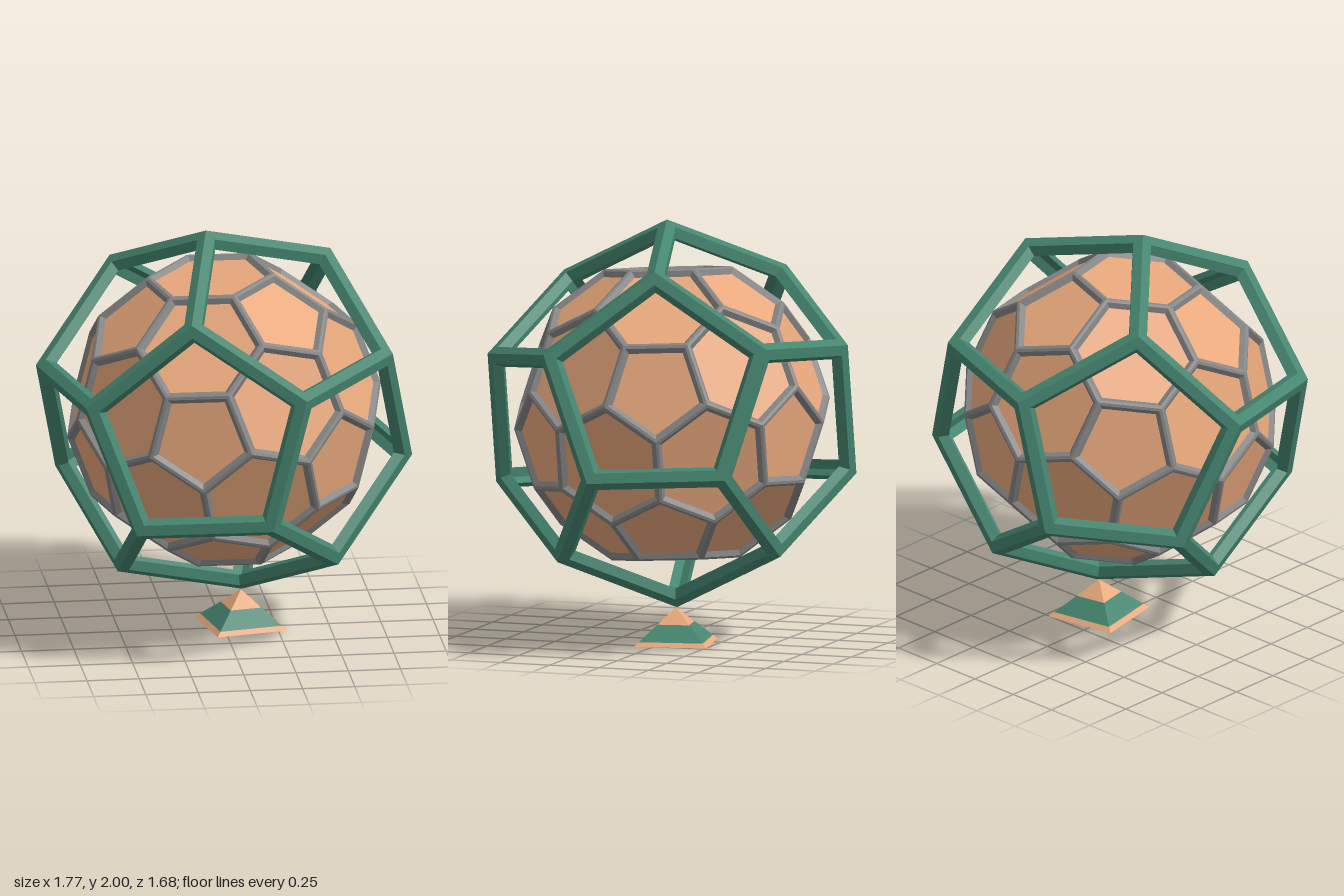
import * as THREE from 'three';

const GREEN = 0x458570, ORANGE = 0xe8a87c, GREY = 0x868686;
const PHI = (1 + Math.sqrt(5)) / 2;

const material = (color) => new THREE.MeshStandardMaterial({ color, flatShading: true });

// All sign and cyclic variants of (0, a, b)
function cyclic(a, b) {
  const out = [];
  for (const s of [-1, 1]) for (const t of [-1, 1]) {
    out.push(new THREE.Vector3(0, s * a, t * b), new THREE.Vector3(s * a, t * b, 0), new THREE.Vector3(t * b, 0, s * a));
  }
  return out;
}

// Corners of the face looking along dir, counter-clockwise from outside
function faceLoop(points, dir) {
  const n = dir.clone().normalize();
  const top = Math.max(...points.map((p) => p.dot(n)));
  const loop = points.filter((p) => p.dot(n) > top - 1e-4);
  const u = loop[0].clone().addScaledVector(n, -loop[0].dot(n)).normalize();
  const v = n.clone().cross(u);
  const angle = (p) => Math.atan2(p.dot(v), p.dot(u));
  return loop.sort((a, b) => angle(a) - angle(b));
}

// Move the sides of a loop inwards by width, then sink it by depth
function inset(loop, width, depth = 0) {
  const c = loop.reduce((s, p) => s.add(p), new THREE.Vector3()).divideScalar(loop.length);
  const apothem = loop[0].clone().add(loop[1]).multiplyScalar(0.5).distanceTo(c);
  const sink = c.clone().normalize().multiplyScalar(-depth);
  return loop.map((p) => p.clone().lerp(c, width / apothem).add(sink));
}

const scaled = (loop, s) => loop.map((p) => p.clone().multiplyScalar(s));

// Quads between neighbouring loops
function strips(out, loops) {
  for (let k = 0; k + 1 < loops.length; k++) {
    const a = loops[k], b = loops[k + 1];
    for (let i = 0; i < a.length; i++) {
      const j = (i + 1) % a.length;
      out.push(a[i], a[j], b[j], a[i], b[j], b[i]);
    }
  }
}

function cap(out, loop) {
  for (let i = 1; i + 1 < loop.length; i++) out.push(loop[0], loop[i], loop[i + 1]);
}

function meshOf(name, triangles, color) {
  const geometry = new THREE.BufferGeometry().setFromPoints(triangles);
  geometry.computeVertexNormals();
  const mesh = new THREE.Mesh(geometry, material(color));
  mesh.name = name;
  return mesh;
}

export function createModel() {
  const model = new THREE.Group();
  model.name = 'caged ball on stand';

  // Directions of the twelve pentagons and twenty corners
  const pentagonDirs = cyclic(PHI, 1);
  const cornerDirs = cyclic(1 / PHI, PHI);
  for (const x of [-1, 1]) for (const y of [-1, 1]) for (const z of [-1, 1]) cornerDirs.push(new THREE.Vector3(x, y, z));

  // Open dodecahedral cage
  const cagePoints = cornerDirs.map((p) => p.clone().setLength(0.921));
  const cage = [];
  for (const dir of pentagonDirs) {
    const outer = faceLoop(cagePoints, dir);
    const hole = inset(outer, 0.05);
    strips(cage, [outer, hole, scaled(hole, 0.94), scaled(outer, 0.94)]);
  }

  // Ball: icosahedron with its corners cut at a third of each edge
  const ico = pentagonDirs.map((p) => p.clone().setLength(0.87));
  const ballPoints = [];
  for (const a of ico) for (const b of ico) {
    if (a !== b && a.distanceTo(b) < 1) ballPoints.push(a.clone().lerp(b, 1 / 3));
  }
  const ridges = [], panels = [];
  for (const dir of [...pentagonDirs, ...cornerDirs]) {
    const outer = faceLoop(ballPoints, dir);
    const panel = inset(outer, 0.034, 0.02);
    strips(ridges, [outer, inset(outer, 0.014), panel]);
    cap(panels, panel);
  }

  // Cage and ball share one tilt
  const z = new THREE.Vector3(0.247, -0.038, 0.968).normalize();
  const y = new THREE.Vector3(0.2465, 0.969, -0.0326);
  const x = y.clone().cross(z).normalize();
  y.crossVectors(z, x);
  const body = new THREE.Group();
  body.name = 'tilted body';
  body.quaternion.setFromRotationMatrix(new THREE.Matrix4().makeBasis(x, y, z));
  body.position.y = 1.085;
  body.add(meshOf('outerCage', cage, GREEN), meshOf('ballRidges', ridges, GREY), meshOf('ballPanels', panels, ORANGE));
  model.add(body);

  // Banded pyramid stand under the lowest corner of the cage
  const stand = new THREE.Group();
  stand.name = 'stand';
  const height = 0.17, radius = 0.246;
  const bands = [['standRim', 0, 0.02, ORANGE], ['standBand', 0.02, 0.095, GREEN], ['standTip', 0.095, height, ORANGE]];
  for (const [name, low, high, color] of bands) {
    const r = (h) => radius * (1 - h / height);
    const band = new THREE.Mesh(new THREE.CylinderGeometry(r(high), r(low), high - low, 4, 1, true), material(color));
    band.position.y = (low + high) / 2;
    band.name = name;
    stand.add(band);
  }
  const base = new THREE.Mesh(new THREE.CircleGeometry(radius, 4, Math.PI / 2), material(GREEN));
  base.rotation.x = Math.PI / 2;
  base.name = 'standBase';
  stand.add(base);
  stand.position.set(0.088, 0, -0.052);
  stand.rotation.y = -Math.atan2(0.137, 0.204);
  model.add(stand);

  return model;
}
